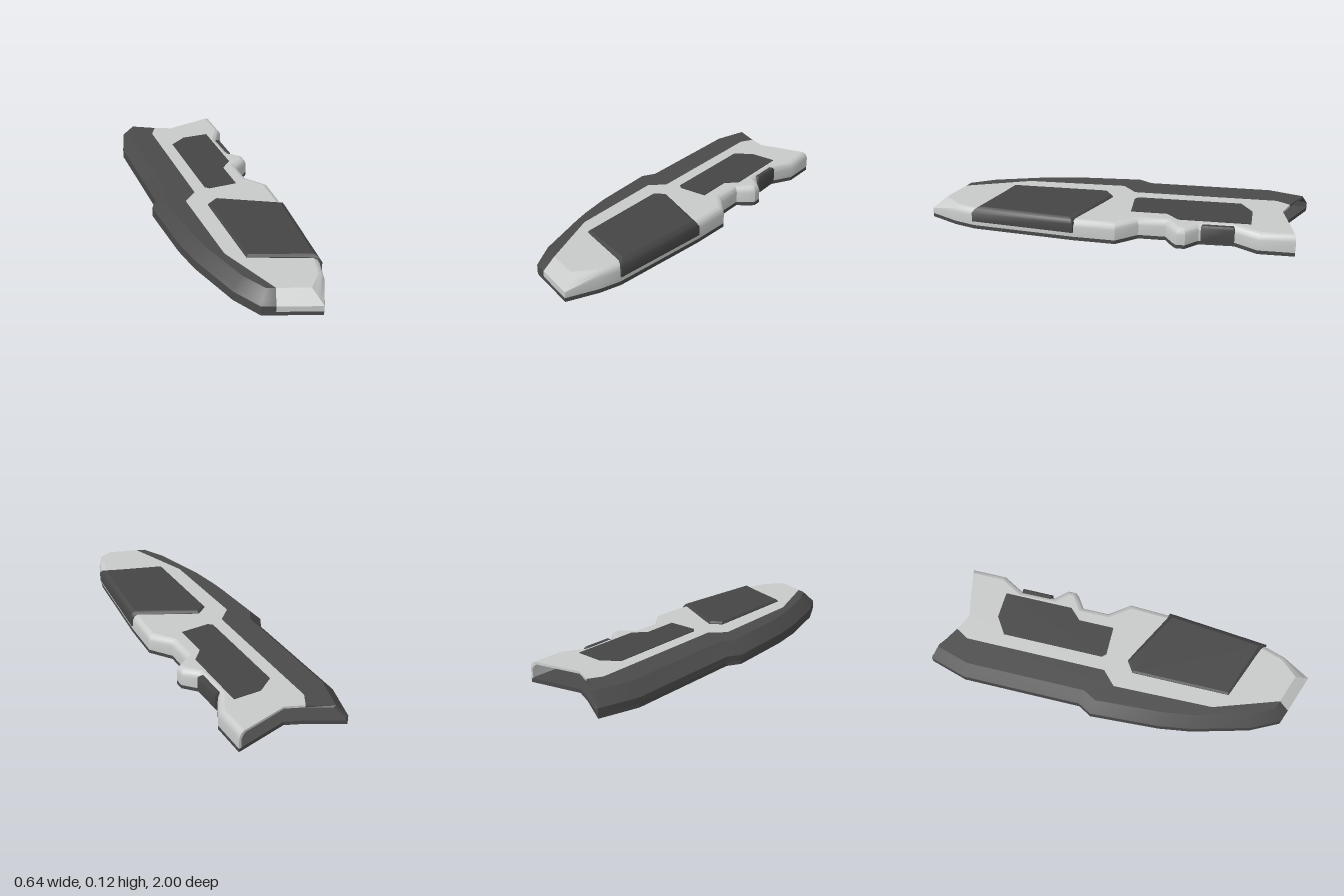
import * as THREE from 'three';
import { toCreasedNormals } from 'three/addons/utils/BufferGeometryUtils.js';

const mat = (name, color) => {
  const m = new THREE.MeshStandardMaterial({ color, side: THREE.DoubleSide });
  m.name = name;
  return m;
};

// Inward mitre vectors for a plan outline of [x, z] points; open ends slide along endDirs.
function mitres(pts, endDirs) {
  const n = pts.length;
  const normal = (a, b) => {
    const dx = b[0] - a[0], dz = b[1] - a[1], l = Math.hypot(dx, dz);
    return [dz / l, -dx / l];
  };
  return pts.map((p, i) => {
    const first = i === 0, last = i === n - 1;
    const before = normal(pts[(i + n - 1) % n], p), after = normal(p, pts[(i + 1) % n]);
    if (endDirs && (first || last)) {
      const e = endDirs[first ? 0 : 1], nn = first ? after : before;
      const k = e[0] * nn[0] + e[1] * nn[1];
      return [e[0] / k, e[1] / k];
    }
    const k = 1 + before[0] * after[0] + before[1] * after[1];
    return [(before[0] + after[0]) / k, (before[1] + after[1]) / k];
  });
}

// Skin between columns of points, each column running upwards.
function skin(columns, closed = false) {
  const rows = columns[0].length, n = columns.length, index = [];
  for (let i = 0; i < (closed ? n : n - 1); i++) {
    for (let j = 0; j < rows - 1; j++) {
      const a = i * rows + j, b = ((i + 1) % n) * rows + j;
      index.push(a, b, b + 1, a, b + 1, a + 1);
    }
  }
  const g = new THREE.BufferGeometry();
  g.setAttribute('position', new THREE.Float32BufferAttribute(columns.flat(2), 3));
  g.setIndex(index);
  return toCreasedNormals(g, 0.6);
}

const planShape = (pts) => new THREE.Shape(pts.map(([x, z]) => new THREE.Vector2(x, -z)));
const cap = (pts, y) => new THREE.ShapeGeometry(planShape(pts)).rotateX(-Math.PI / 2).translate(0, y, 0);
const slab = (pts, y, depth) =>
  new THREE.ExtrudeGeometry(planShape(pts), { depth, bevelEnabled: false }).rotateX(-Math.PI / 2).translate(0, y, 0);
const column = (p, m, profile) => profile.map(([d, y]) => [p[0] + m[0] * d, y, p[1] + m[1] * d]);
const topOf = (c) => { const p = c[c.length - 1]; return [p[0], p[2]]; };

export function createModel() {
  const group = new THREE.Group();
  const dark = mat('dark grey', 0x4a4a4a);
  const light = mat('light grey', 0xc8caca);
  const rubber = mat('rubber grey', 0x454545);
  const add = (name, geometry, material) => {
    const m = new THREE.Mesh(geometry, material);
    m.name = name;
    group.add(m);
  };

  // Plan outline: left flank from the back tip to the nose, then the right flank back again
  const leftSide = [[-0.225, -1], [-0.285, -0.8], [-0.285, -0.16], [-0.325, -0.09], [-0.305, 0.28],
    [-0.28, 0.45], [-0.2, 0.75], [-0.125, 0.9], [-0.06, 0.925]];
  const rightSide = [[0.145, 1], [0.22, 0.85], [0.255, 0.74], [0.31, 0.2], [0.32, -0.02], [0.24, -0.13],
    [0.24, -0.27], [0.3, -0.31], [0.32, -0.33], [0.32, -0.375], [0.26, -0.44], [0.255, -0.62],
    [0.32, -0.735], [0.32, -0.92]];
  const backEdge = [[0.04, -0.86], [-0.05, -0.9]];
  const outline = [...leftSide, ...rightSide];
  const chamfer = [[0, 0.02], [0, 0.05], [0.02, 0.07], [0.04, 0.09], [0.06, 0.11]];
  const round = [[0, 0.02], [0, 0.075], [0.005, 0.092], [0.014, 0.104], [0.03, 0.11]];
  const m = mitres(outline, [[0.175, 0.1], [-0.28, 0.06]]);
  const split = leftSide.length;
  const columns = outline.map((p, i) => column(p, m[i], i <= split ? chamfer : round));

  // Base plate and the two coloured shells
  add('basePlate', slab([...outline, ...backEdge], 0, 0.02), dark);
  add('leftFlank', skin(columns.slice(0, split)), dark);
  add('rightFlank', skin(columns.slice(split - 1)), light);

  // Top faces, meeting along the seam
  const seam = [[-0.155, 0.53], [-0.165, 0], [-0.09, -0.07], [-0.09, -0.83], [-0.05, -0.9]];
  const tops = columns.map(topOf);
  add('leftTop', cap([...tops.slice(0, split), ...seam], 0.11), dark);
  add('rightTop', cap([...tops.slice(split - 1), backEdge[0], ...[...seam].reverse()], 0.11), light);

  // Thin rim round the open back end
  const wall = 0.012;
  const rim = (pts) => skin(pts.map(([p, dx, dy]) => [p, [p[0] + dx, p[1] + dy, p[2]]]));
  const b = [-0.05, 0.11, -0.9];
  add('leftRim', rim([
    ...columns[0].map((p, j) => [p, wall, j > 1 ? -wall / 2 : 0]), [b, 0, -wall]]), dark);
  add('rightRim', rim([
    [b, 0, -wall], [[0.04, 0.11, -0.86], 0, -wall],
    ...[...columns[columns.length - 1]].reverse().map((p, j) => [p, j ? -wall : -wall / 2, j < 3 ? -wall : 0])]), light);

  // Raised front grip wrapping over the right edge
  const grip = [[-0.07, 0.08], [-0.07, 0.6], [0.262, 0.745], [0.318, 0.2], [-0.01, 0.04]];
  const gm = mitres(grip);
  const gripColumns = grip.map((p, i) => column(p, gm[i], i === 2 || i === 3
    ? [[0, 0.045], [0, 0.095], [0.012, 0.114], [0.03, 0.123]]
    : [[0, 0.045], [0, 0.095], [0, 0.114], [0.01, 0.123]]));
  add('frontGripSides', skin(gripColumns, true), rubber);
  add('frontGripTop', cap(gripColumns.map(topOf), 0.123), rubber);
  add('frontGripUnderside', cap(grip, 0.045), rubber);

  // Flat inlay behind the grip
  add('rearInlay', slab([[-0.02, -0.645], [0.07, -0.705], [0.215, -0.7], [0.215, -0.33], [0.155, -0.27],
    [0.155, -0.08], [0, -0.08], [-0.02, -0.1]], 0.108, 0.005), rubber);

  // Side button in the notch
  const button = [[0.235, -0.62], [0.235, -0.45], [0.27, -0.45], [0.27, -0.62]];
  const bm = mitres(button);
  const buttonColumns = button.map((p, i) =>
    column(p, bm[i], [[0, 0.02], [0, 0.095], [0.008, 0.107]]));
  add('sideButton', skin(buttonColumns, true), rubber);
  add('sideButtonTop', cap(buttonColumns.map(topOf), 0.107), rubber);

  return group;
}
